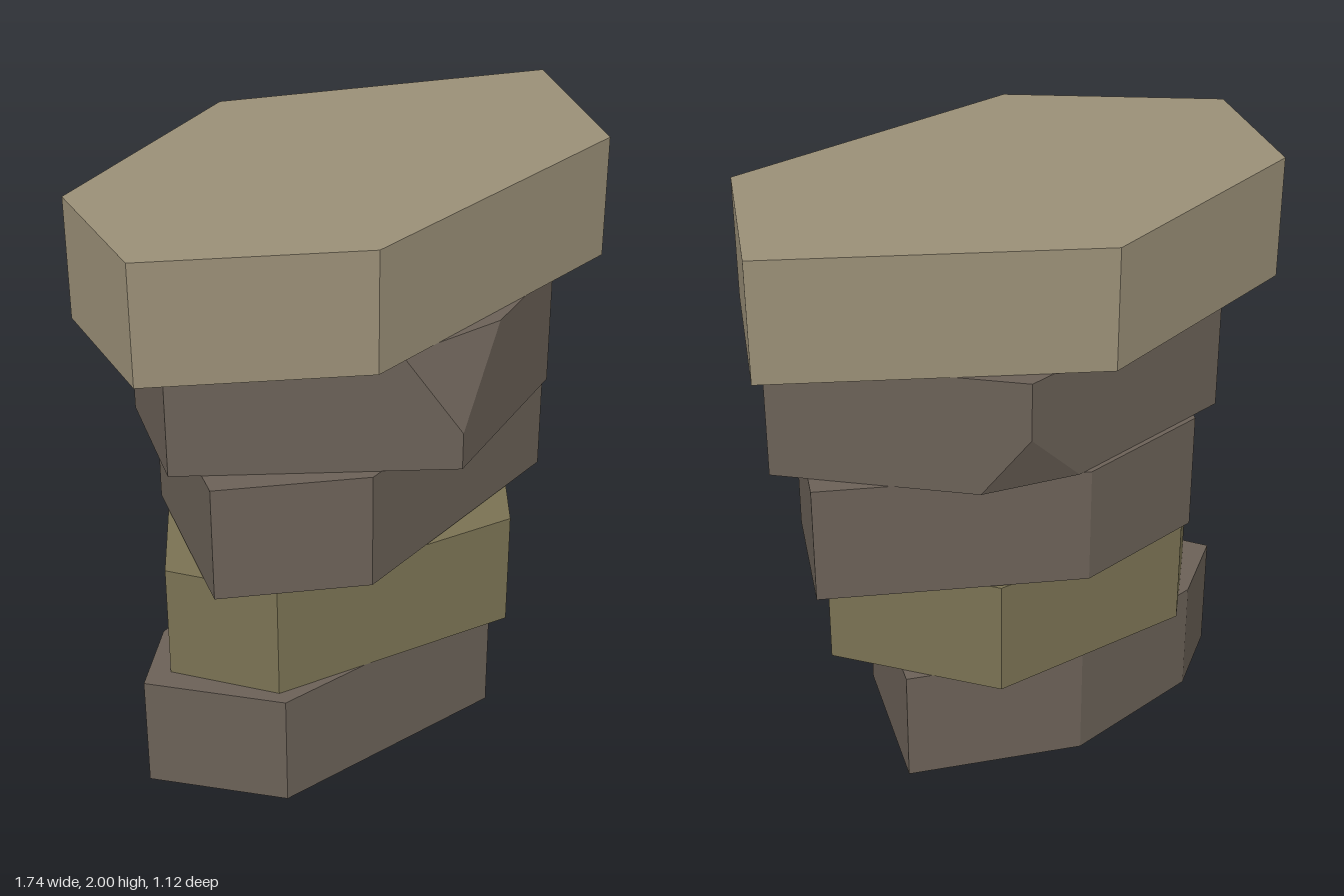
import * as THREE from 'three';
import { ConvexGeometry } from 'three/addons/geometries/ConvexGeometry.js';

const material = (name, color) => {
  const m = new THREE.MeshStandardMaterial({ color });
  m.name = name;
  return m;
};

// Ring of [x, z] corners lifted to height y
const ring = (corners, y) => corners.map(([x, z]) => new THREE.Vector3(x, y, z));
const between = (a, b, t) => [a[0] + (b[0] - a[0]) * t, a[1] + (b[1] - a[1]) * t];

export function createModel() {
  const group = new THREE.Group();
  group.name = 'stoneStack';
  const brown = material('brownStone', 0x6b6157);
  const olive = material('oliveStone', 0x7a7253);
  const tan = material('tanStone', 0x9a8f77);

  const addStone = (name, mat, points) => {
    const mesh = new THREE.Mesh(new ConvexGeometry(points), mat);
    mesh.name = name;
    group.add(mesh);
  };

  // Plain six-sided slabs: name, material, bottom, top, corners
  const slabs = [
    ['baseStone', brown, 0, 0.4,
      [[-0.5, 0.34], [0.33, 0.32], [0.43, -0.2], [-0.14, -0.33], [-0.62, -0.19], [-0.81, 0]]],
    ['secondStone', olive, 0.4, 0.8,
      [[-0.49, 0.29], [0.33, 0.405], [0.595, 0.02], [0.18, -0.38], [-0.51, -0.3], [-0.71, 0]]],
    ['thirdStone', brown, 0.808, 1.205,
      [[-0.24, 0.44], [0.6, 0.215], [0.715, -0.19], [-0.08, -0.465], [-0.51, -0.345], [-0.67, 0.22]]],
    ['capStone', tan, 1.602, 2,
      [[-0.27, 0.505], [0.71, 0.335], [0.865, -0.165], [-0.1, -0.56], [-0.815, -0.28], [-0.87, 0.165]]],
  ];
  for (const [name, mat, bottom, top, corners] of slabs) {
    addStone(name, mat, [...ring(corners, bottom), ...ring(corners, top)]);
  }

  // Fourth stone: front corner chipped off at the top, back corner chipped off at the bottom
  const front = [0, 0.56], frontLeft = [0.53, 0.315], left = [0.79, -0.05];
  const back = [0.15, -0.515], backRight = [-0.61, -0.3], right = [-0.73, 0.085];
  const whole = [frontLeft, left, backRight, right];
  addStone('chippedStone', brown, [
    ...ring([...whole, front, between(back, left, 0.19), between(back, backRight, 0.25)], 1.205),
    ...ring([front], 1.33),
    ...ring([back], 1.41),
    ...ring([...whole, back, between(front, right, 0.21), between(front, frontLeft, 0.38)], 1.602),
  ]);

  return group;
}
